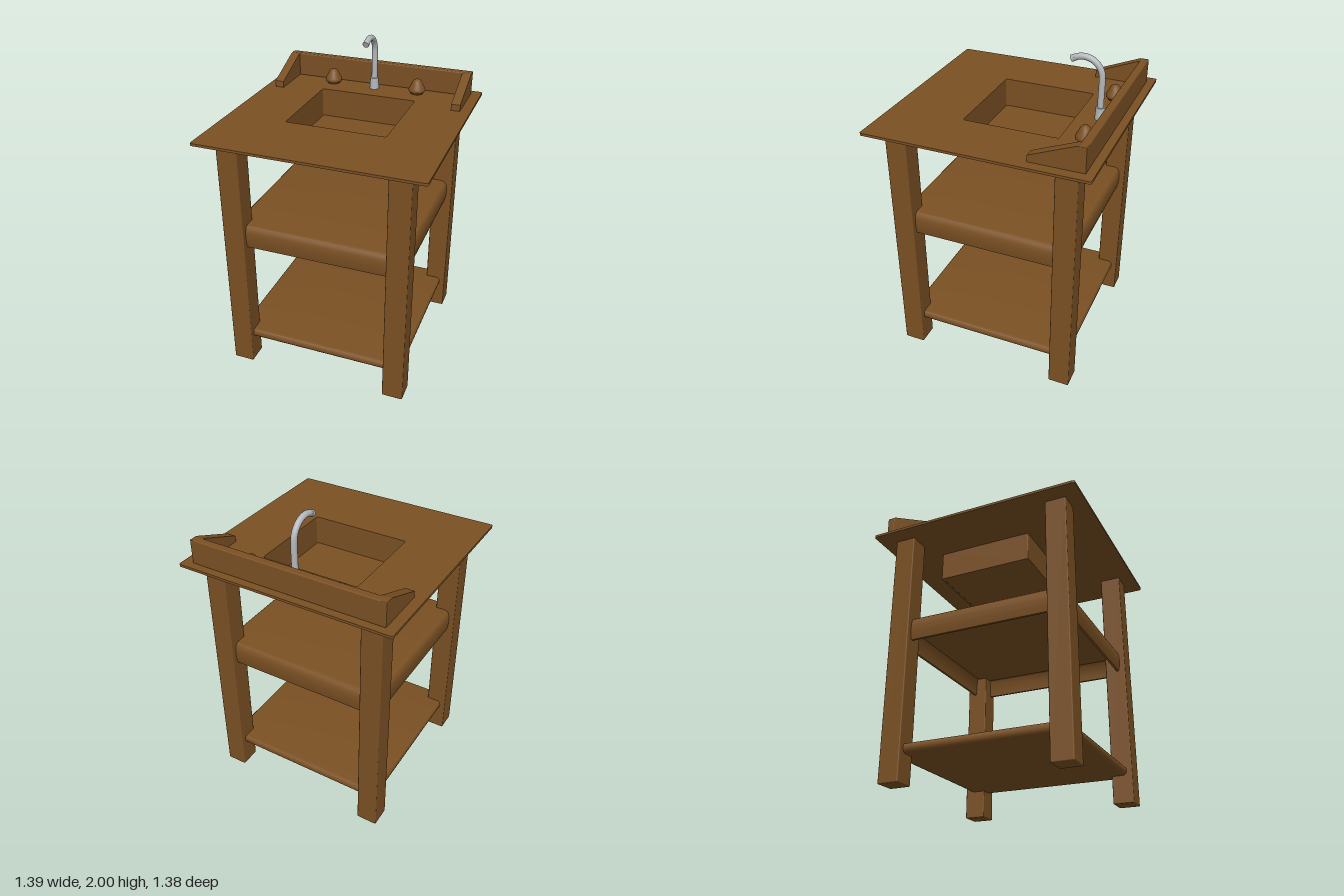
import * as THREE from 'three';
import { toCreasedNormals } from 'three/addons/utils/BufferGeometryUtils.js';
import { RoundedBoxGeometry } from 'three/addons/geometries/RoundedBoxGeometry.js';

const wood = new THREE.MeshStandardMaterial({ name: 'brown wood', color: 0x7a5023 });
const metal = new THREE.MeshStandardMaterial({ name: 'brushed metal', color: 0xb4b7ba });

// Rounded rectangle outline in the XY plane
function roundRect(target, x0, x1, y0, y1, r) {
  target.moveTo(x0 + r, y0);
  target.lineTo(x1 - r, y0);
  target.quadraticCurveTo(x1, y0, x1, y0 + r);
  target.lineTo(x1, y1 - r);
  target.quadraticCurveTo(x1, y1, x1 - r, y1);
  target.lineTo(x0 + r, y1);
  target.quadraticCurveTo(x0, y1, x0, y1 - r);
  target.lineTo(x0, y0 + r);
  target.quadraticCurveTo(x0, y0, x0 + r, y0);
  return target;
}

export function createModel() {
  const group = new THREE.Group();
  group.name = 'washstand';

  function add(name, geometry, material, x = 0, y = 0, z = 0) {
    const mesh = new THREE.Mesh(geometry, material);
    mesh.name = name;
    mesh.position.set(x, y, z);
    group.add(mesh);
    return mesh;
  }

  // Horizontal slab (shape y becomes -z) standing on a given height
  function slab(name, shape, height, y) {
    const geo = new THREE.ExtrudeGeometry(shape, { depth: height, bevelEnabled: false, curveSegments: 4 });
    geo.rotateX(-Math.PI / 2);
    return add(name, geo, wood, 0, y, 0);
  }

  // Square shelf swept from a profile of [half width, height]
  function squareSweep(name, profile) {
    const points = profile.map(([h, y]) => new THREE.Vector2(h * Math.SQRT2, y));
    const geo = new THREE.LatheGeometry(points, 4);
    geo.rotateY(Math.PI / 4);
    add(name, toCreasedNormals(geo, 0.75), wood);
  }

  // Legs
  for (const sx of [-1, 1]) {
    for (const sz of [-1, 1]) {
      add('leg', new RoundedBoxGeometry(0.134, 1.6, 0.134, 2, 0.007), wood, sx * 0.522, 0.8, sz * 0.522);
    }
  }

  // Lower shelf with rounded edges
  squareSweep('lowerShelf', [
    [0, 0.175], [0.53, 0.175], [0.542, 0.179], [0.551, 0.19], [0.554, 0.205],
    [0.551, 0.22], [0.542, 0.231], [0.53, 0.235], [0, 0.235],
  ]);

  // Middle shelf, hollow underneath with a deep rim
  squareSweep('middleShelf', [
    [0, 1.005], [0.515, 1.005], [0.525, 0.995], [0.53, 0.885], [0.545, 0.885],
    [0.552, 0.92], [0.555, 0.96], [0.553, 0.995], [0.545, 1.018], [0.532, 1.031],
    [0.515, 1.036], [0, 1.036],
  ]);

  // Worktop with the basin opening
  const top = roundRect(new THREE.Shape(), -0.695, 0.695, -0.685, 0.69, 0.015);
  top.holes.push(roundRect(new THREE.Path(), -0.315, 0.32, -0.215, 0.38, 0.015));
  slab('worktop', top, 0.016, 1.596);

  // Basin walls and floor
  const walls = roundRect(new THREE.Shape(), -0.33, 0.335, -0.233, 0.392, 0.006);
  walls.holes.push(roundRect(new THREE.Path(), -0.315, 0.32, -0.215, 0.38, 0.015));
  slab('basinWalls', walls, 0.19, 1.408);
  add('basinFloor', new THREE.BoxGeometry(0.65, 0.015, 0.61), wood, 0.0025, 1.417, -0.08);

  // Back splash and sloping side arms
  add('backSplash', new RoundedBoxGeometry(1.262, 0.157, 0.05, 2, 0.008), wood, 0, 1.687, -0.615);
  const arm = new THREE.Shape();
  arm.moveTo(0.31, 1.608);
  arm.lineTo(0.638, 1.608);
  arm.lineTo(0.638, 1.763);
  arm.lineTo(0.585, 1.763);
  arm.lineTo(0.312, 1.652);
  arm.closePath();
  const armGeo = new THREE.ExtrudeGeometry(arm, { depth: 0.058, bevelEnabled: false });
  armGeo.rotateY(Math.PI / 2);
  add('leftArm', armGeo, wood, 0.572, 0, 0);
  add('rightArm', armGeo, wood, -0.63, 0, 0);

  // Tap knobs
  const knobProfile = [
    [0, 1.608], [0.04, 1.608], [0.042, 1.62], [0.053, 1.627], [0.056, 1.637], [0.052, 1.65],
    [0.04, 1.672], [0.03, 1.693], [0.02, 1.704], [0.01, 1.709], [0, 1.71],
  ].map(([r, y]) => new THREE.Vector2(r, y));
  for (const sx of [-1, 1]) {
    add('knob', new THREE.LatheGeometry(knobProfile, 24), wood, sx * 0.293, 0, -0.522);
  }

  // Faucet base, curved pipe and nozzle
  add('faucetBase', new THREE.CylinderGeometry(0.027, 0.031, 0.078, 20), metal, 0, 1.648, -0.517);
  const path = [new THREE.Vector3(0, 1.66, -0.517), new THREE.Vector3(0, 1.76, -0.517)];
  for (let i = 0; i <= 8; i++) {
    const a = Math.PI - (i / 8) * Math.PI * 0.68;
    path.push(new THREE.Vector3(0, 1.866 + 0.115 * Math.sin(a), -0.402 + 0.115 * Math.cos(a)));
  }
  const curve = new THREE.CatmullRomCurve3(path);
  add('faucetPipe', new THREE.TubeGeometry(curve, 40, 0.019, 14), metal);
  const end = curve.getPoint(1);
  const nozzle = add('faucetNozzle', new THREE.CylinderGeometry(0.021, 0.02, 0.022, 16), metal, end.x, end.y, end.z);
  nozzle.quaternion.setFromUnitVectors(new THREE.Vector3(0, 1, 0), curve.getTangent(1));

  return group;
}
